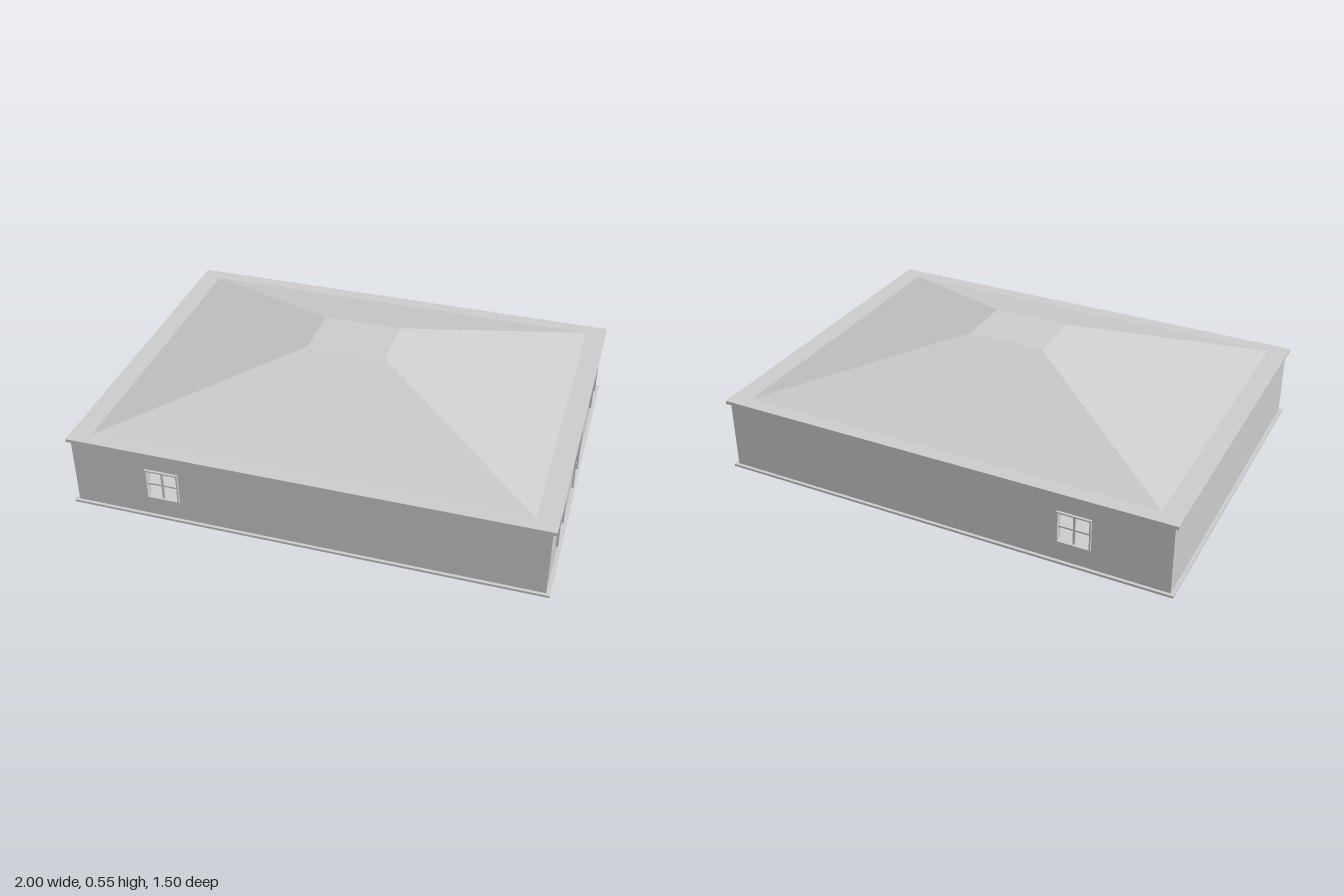
import * as THREE from 'three';

const mat = new THREE.MeshStandardMaterial({ color: 0xcccccc, flatShading: true });
const WALL_BASE = 0.01, WALL_TOP = 0.311, THICK = 0.025;
const WIN = { w: 0.142, y0: 0.097, y1: 0.238 };
const DOOR = { w: 0.14, y0: WALL_BASE, y1: 0.238 };

function box(parent, name, w, h, d, x, y, z) {
  const mesh = new THREE.Mesh(new THREE.BoxGeometry(w, h, d), mat);
  mesh.name = name;
  mesh.position.set(x, y, z);
  parent.add(mesh);
  return mesh;
}

function rect(path, x0, y0, x1, y1) {
  path.moveTo(x0, y0);
  path.lineTo(x1, y0);
  path.lineTo(x1, y1);
  path.lineTo(x0, y1);
  path.closePath();
  return path;
}

// Four-pane open window; the outer wall face is at z = 0
function addWindow(wall, x) {
  const g = new THREE.Group();
  g.name = 'window';
  const { w, y0, y1 } = WIN, h = y1 - y0, cy = (y0 + y1) / 2;
  const f = 0.006, d = 0.032, z = -0.006;
  for (const s of [-1, 1]) {
    box(g, 'windowJamb', f, h, d, s * (w - f) / 2, cy, z);
    box(g, 'windowRail', w - 2 * f, f, d, 0, cy + s * (h - f) / 2, z);
  }
  box(g, 'verticalBar', 0.009, h - 2 * f, 0.01, 0, cy, -0.004);
  box(g, 'horizontalBar', w - 2 * f, 0.007, 0.009, 0, cy, -0.004);
  g.position.x = x;
  wall.add(g);
}

// Closed door with a thin frame and lever handle
function addDoor(wall) {
  const g = new THREE.Group();
  g.name = 'door';
  const { w, y0, y1 } = DOOR, h = y1 - y0, f = 0.004;
  for (const s of [-1, 1]) {
    box(g, 'doorJamb', f, h, 0.032, s * (w - f) / 2, y0 + h / 2, -0.008);
  }
  box(g, 'doorHead', w - 2 * f, f, 0.032, 0, y1 - f / 2, -0.008);
  box(g, 'doorLeaf', w - 2 * f, h - f, 0.014, 0, y0 + (h - f) / 2, -0.01);
  box(g, 'handleStem', 0.005, 0.005, 0.01, -0.062, 0.127, 0.001);
  box(g, 'handleLever', 0.022, 0.005, 0.004, -0.056, 0.127, 0.007);
  wall.add(g);
}

// Outer wall: an extruded panel pierced by window and door openings
function addWall(parent, name, length, angle, distance, windows = [], hasDoor = false) {
  const g = new THREE.Group();
  g.name = name;
  const half = length / 2;
  const shape = rect(new THREE.Shape(), -half, WALL_BASE, half, WALL_TOP);
  for (const x of windows) {
    shape.holes.push(rect(new THREE.Path(), x - WIN.w / 2, WIN.y0, x + WIN.w / 2, WIN.y1));
    addWindow(g, x);
  }
  if (hasDoor) {
    shape.holes.push(rect(new THREE.Path(), -DOOR.w / 2, DOOR.y0 + 0.0005, DOOR.w / 2, DOOR.y1));
    addDoor(g);
  }
  const geo = new THREE.ExtrudeGeometry(shape, { depth: THICK, bevelEnabled: false });
  geo.translate(0, 0, -THICK);
  const panel = new THREE.Mesh(geo, mat);
  panel.name = name + 'Panel';
  g.add(panel);
  g.rotation.y = angle;
  g.position.set(Math.sin(angle) * distance, 0, Math.cos(angle) * distance);
  parent.add(g);
}

// Flat-topped hip roof: a box whose upper corners are drawn inward
function hipRoof() {
  const y0 = 0.324, y1 = 0.546;
  const geo = new THREE.BoxGeometry(2, 1, 2);
  const p = geo.attributes.position;
  for (let i = 0; i < p.count; i++) {
    const top = p.getY(i) > 0;
    p.setXYZ(i, p.getX(i) * (top ? 0.167 : 0.915), top ? y1 : y0, p.getZ(i) * (top ? 0.125 : 0.69));
  }
  geo.computeVertexNormals();
  const mesh = new THREE.Mesh(geo, mat);
  mesh.name = 'hipRoof';
  return mesh;
}

export function createModel() {
  const house = new THREE.Group();
  house.name = 'house';

  // Floor and eaves slabs
  box(house, 'floorSlab', 2, 0.01, 1.5, 0, 0.005, 0);
  box(house, 'eavesSlab', 2, 0.014, 1.5, 0, 0.318, 0);
  house.add(hipRoof());

  // Outer walls
  const X = 0.985, Z = 0.737;
  addWall(house, 'frontWall', 2 * X, 0, Z, [-0.592]);
  addWall(house, 'backWall', 2 * X, Math.PI, Z, [0.592]);
  addWall(house, 'doorWall', 2 * (Z - THICK), Math.PI / 2, X, [-0.49, 0.49], true);
  addWall(house, 'plainWall', 2 * (Z - THICK), -Math.PI / 2, X);

  // Inner partitions, with gaps as doorways: [x0, x1, z0, z1]
  const t = 0.0125, h = WALL_TOP - WALL_BASE;
  const partitions = [
    [-0.23, 0.63, -0.4 - t, -0.4 + t],
    [0.8, 0.96, -0.4 - t, -0.4 + t],
    [-0.23 - t, -0.23 + t, -0.712, -0.22],
    [-0.23 - t, -0.23 + t, 0.2, 0.712],
    [-0.72, -0.23, -0.23 - t, -0.23 + t],
    [-0.72, -0.23, 0.2 - t, 0.2 + t],
    [-0.96, -0.88, -0.23 - t, -0.23 + t],
    [-0.96, -0.88, 0.2 - t, 0.2 + t],
  ];
  for (const [x0, x1, z0, z1] of partitions) {
    box(house, 'partition', x1 - x0, h, z1 - z0, (x0 + x1) / 2, WALL_BASE + h / 2, (z0 + z1) / 2);
  }
  return house;
}
